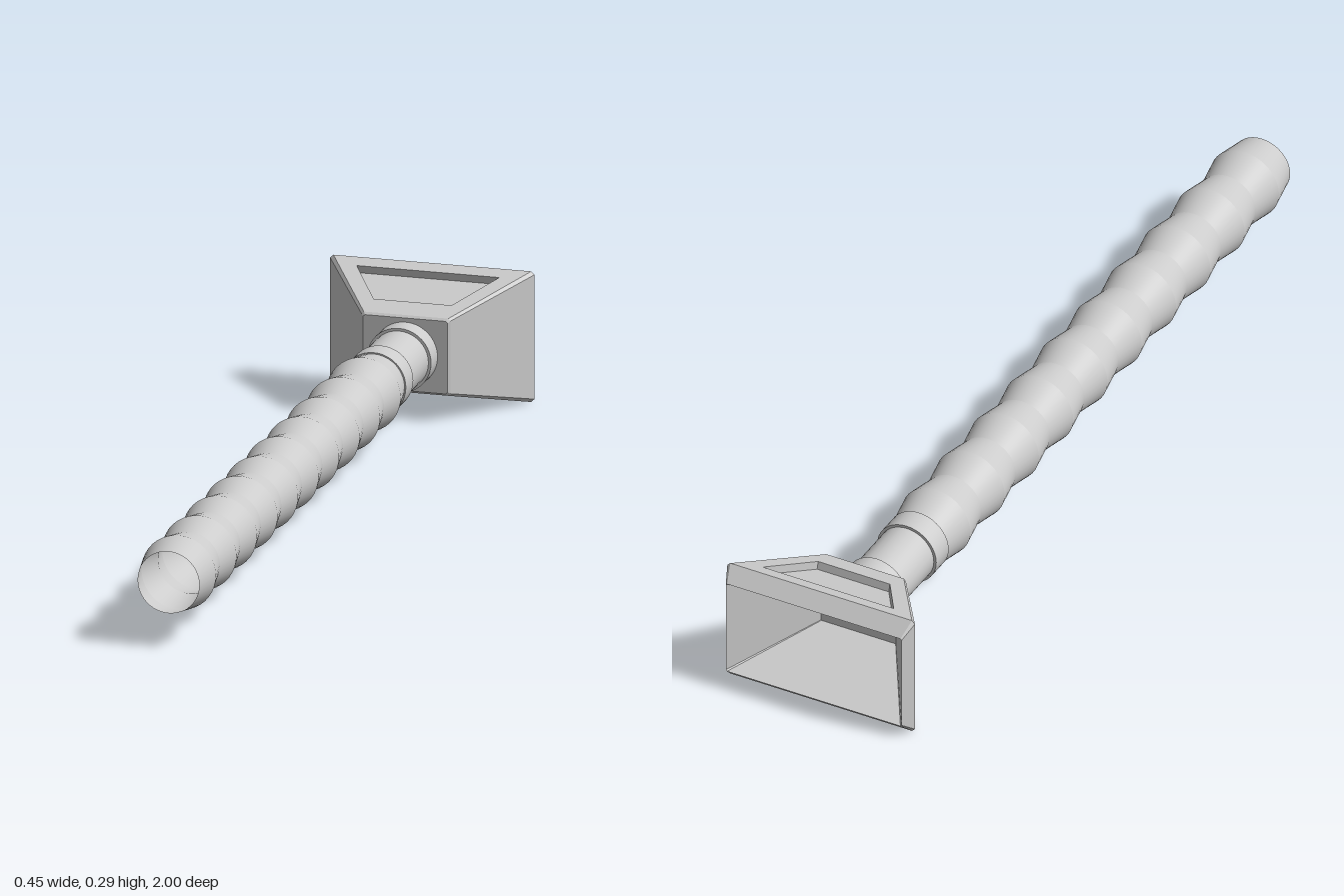
import * as THREE from 'three';
import { toCreasedNormals } from 'three/addons/utils/BufferGeometryUtils.js';

const AXIS_Y = 0.145;
const V = (x, y, z) => new THREE.Vector3(x, y, z);

// Open tube of revolution along z, from [radius, z] pairs, sharp at each ring
function turned(name, profile, material) {
  const pts = profile.map(([r, z]) => new THREE.Vector2(r, z));
  const geo = toCreasedNormals(new THREE.LatheGeometry(pts, 40).rotateX(Math.PI / 2), 0.28);
  const mesh = new THREE.Mesh(geo, material);
  mesh.name = name;
  return mesh;
}

// Half of a rectangle with cut corners; the other half is its 180 degree turn
function halfRing(hx, hy, cut, z) {
  return [
    V(-hx + cut, hy, z), V(hx - cut, hy, z), V(hx, hy - cut, z),
    V(hx, -hy + cut, z), V(hx - cut, -hy, z),
  ];
}

// Flat-faced geometry from polygons (each a convex fan)
function facesToGeometry(faces) {
  const pts = [];
  for (const f of faces)
    for (let i = 1; i < f.length - 1; i++) pts.push(f[0], f[i], f[i + 1]);
  const geo = new THREE.BufferGeometry().setFromPoints(pts);
  geo.computeVertexNormals();
  return geo;
}

// Upper half of the nozzle: outer shell, rim, hollow inside and sunken panel
function nozzleHalf() {
  const faces = [];
  const rings = [
    halfRing(0.093, 0.080, 0.004, -0.766),
    halfRing(0.098, 0.085, 0.005, -0.771),
    halfRing(0.225, 0.144, 0.007, -0.967),
    halfRing(0.211, 0.114, 0.003, -1.0),
    halfRing(0.090, 0.068, 0.001, -0.80),
  ];
  for (let r = 0; r < rings.length - 1; r++) {
    const [a, b] = [rings[r], rings[r + 1]];
    for (let i = 0; i < 4; i++) {
      if (r === 1 && i === 0) continue; // sloping face carries the panel
      faces.push([a[i], a[i + 1], b[i + 1], b[i]]);
    }
  }
  faces.push([...rings[0]].reverse(), rings[4]);

  // Sloping face framed around a trapezoid recess
  const [front, back] = [rings[1], rings[2]];
  const outer = [front[0], front[1], back[1], back[0]];
  const slopeY = (z) => 0.085 + (0.059 * (-0.771 - z)) / 0.196;
  const lip = [[-0.086, -0.82], [0.086, -0.82], [0.157, -0.935], [-0.157, -0.935]]
    .map(([x, z]) => V(x, slopeY(z), z));
  const sink = V(0, -0.017, -0.005);
  const floor = lip.map((p) => p.clone().add(sink));
  for (let i = 0; i < 4; i++) {
    const j = (i + 1) % 4;
    faces.push([outer[i], outer[j], lip[j], lip[i]]);
    faces.push([lip[i], lip[j], floor[j], floor[i]]);
  }
  faces.push(floor);
  return facesToGeometry(faces);
}

export function createModel() {
  const model = new THREE.Group();
  model.name = 'hoseWithNozzle';
  const material = new THREE.MeshStandardMaterial({ color: 0xcccccc, side: THREE.DoubleSide });

  // Ribbed hose: ten bulges
  const bulges = 10, start = -0.53, step = 1.53 / bulges;
  const hose = [[0.068, start]];
  for (let i = 0; i < bulges; i++) {
    hose.push([0.082, start + (i + 0.5) * step], [0.068, start + (i + 1) * step]);
  }

  // Straight neck with a collar at each end
  const neck = [
    [0.071, -0.768], [0.071, -0.718], [0.065, -0.718], [0.065, -0.585],
    [0.071, -0.585], [0.071, -0.53], [0.068, -0.53],
  ];

  const body = new THREE.Group();
  body.position.y = AXIS_Y;
  body.add(turned('hose', hose, material), turned('neck', neck, material));

  // Nozzle from two identical halves
  const nozzle = new THREE.Group();
  nozzle.name = 'nozzle';
  const half = nozzleHalf();
  ['upperNozzle', 'lowerNozzle'].forEach((name, i) => {
    const mesh = new THREE.Mesh(half, material);
    mesh.name = name;
    mesh.rotation.z = i * Math.PI;
    nozzle.add(mesh);
  });
  body.add(nozzle);
  body.name = 'body';
  model.add(body);
  return model;
}
